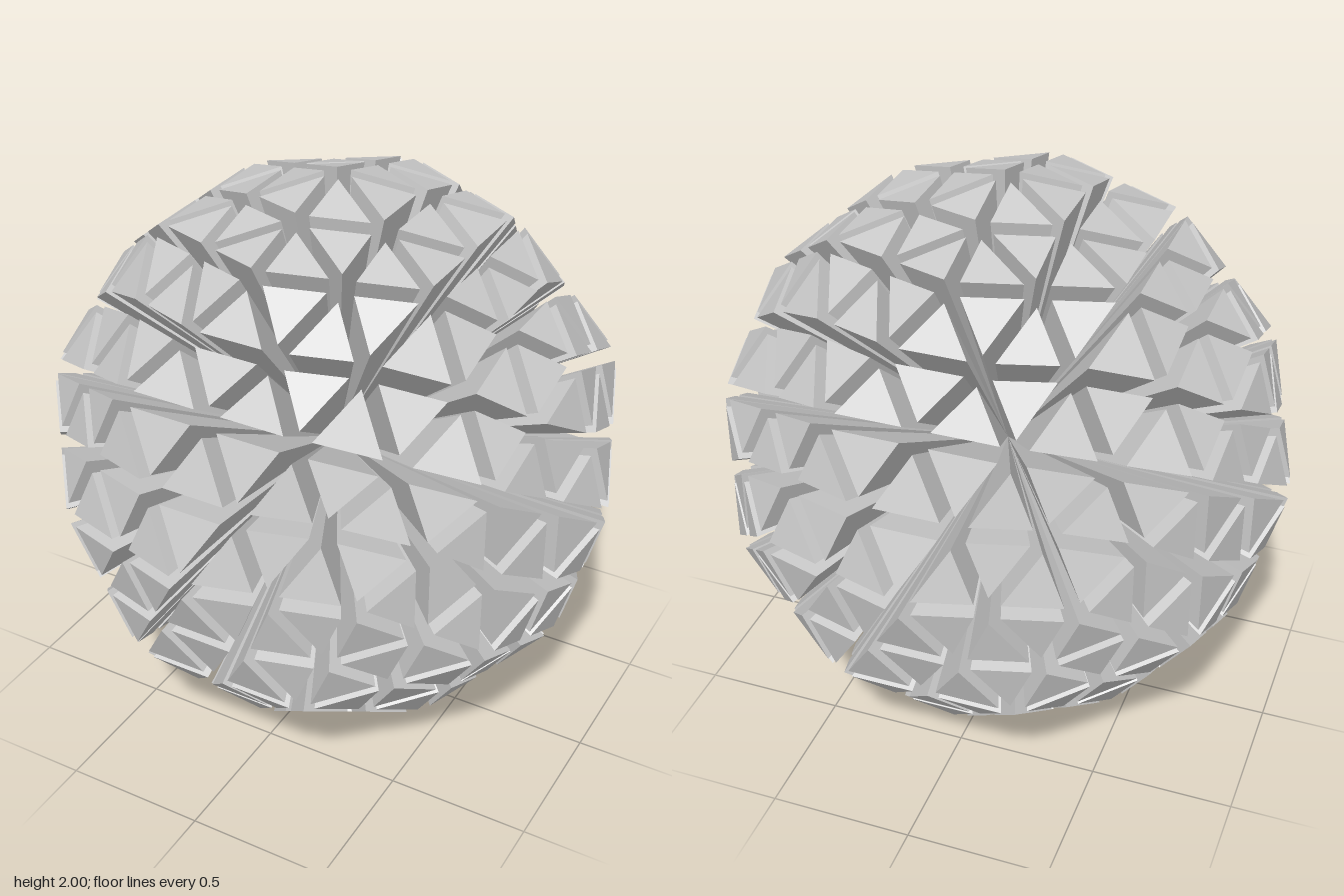
import * as THREE from 'three';

const SHRINK = 0.7;    // size of each shard's outer face inside its cell
const SCALE = 1.0172;  // brings the overall width to 2

// Four coplanar triangles from one, cut at the edge midpoints
function quarter(a, b, c) {
  const mid = (p, q) => p.clone().add(q).multiplyScalar(0.5);
  const ab = mid(a, b), bc = mid(b, c), ca = mid(c, a);
  return [[a, ab, ca], [ab, b, bc], [ca, bc, c], [ab, bc, ca]];
}

// Tapered shard: a shrunken triangular face with three walls meeting at the ball's centre
function addShard(out, cell) {
  const centre = new THREE.Vector3();
  cell.forEach(p => centre.addScaledVector(p, 1 / 3));
  const [a, b, c] = cell.map(p => centre.clone().lerp(p, SHRINK).multiplyScalar(SCALE));
  const apex = new THREE.Vector3();
  out.push(a, b, c, b, a, apex, c, b, apex, a, c, apex);
}

export function createModel() {
  const model = new THREE.Group();
  model.name = 'shardBall';
  const material = new THREE.MeshStandardMaterial({ color: 0xcccccc, flatShading: true });

  // 80 flat panels of a once-divided icosahedron, each holding four shards
  const base = new THREE.IcosahedronGeometry(1, 1).rotateY(Math.PI / 2);
  const pos = base.attributes.position;
  const corner = i => new THREE.Vector3().fromBufferAttribute(pos, i);

  for (let i = 0; i < pos.count; i += 3) {
    const points = [];
    for (const cell of quarter(corner(i), corner(i + 1), corner(i + 2))) addShard(points, cell);
    const geometry = new THREE.BufferGeometry().setFromPoints(points);
    geometry.computeVertexNormals();
    const panel = new THREE.Mesh(geometry, material);
    panel.name = `shardPanel${i / 3 + 1}`;
    panel.position.y = 1;
    model.add(panel);
  }
  return model;
}
